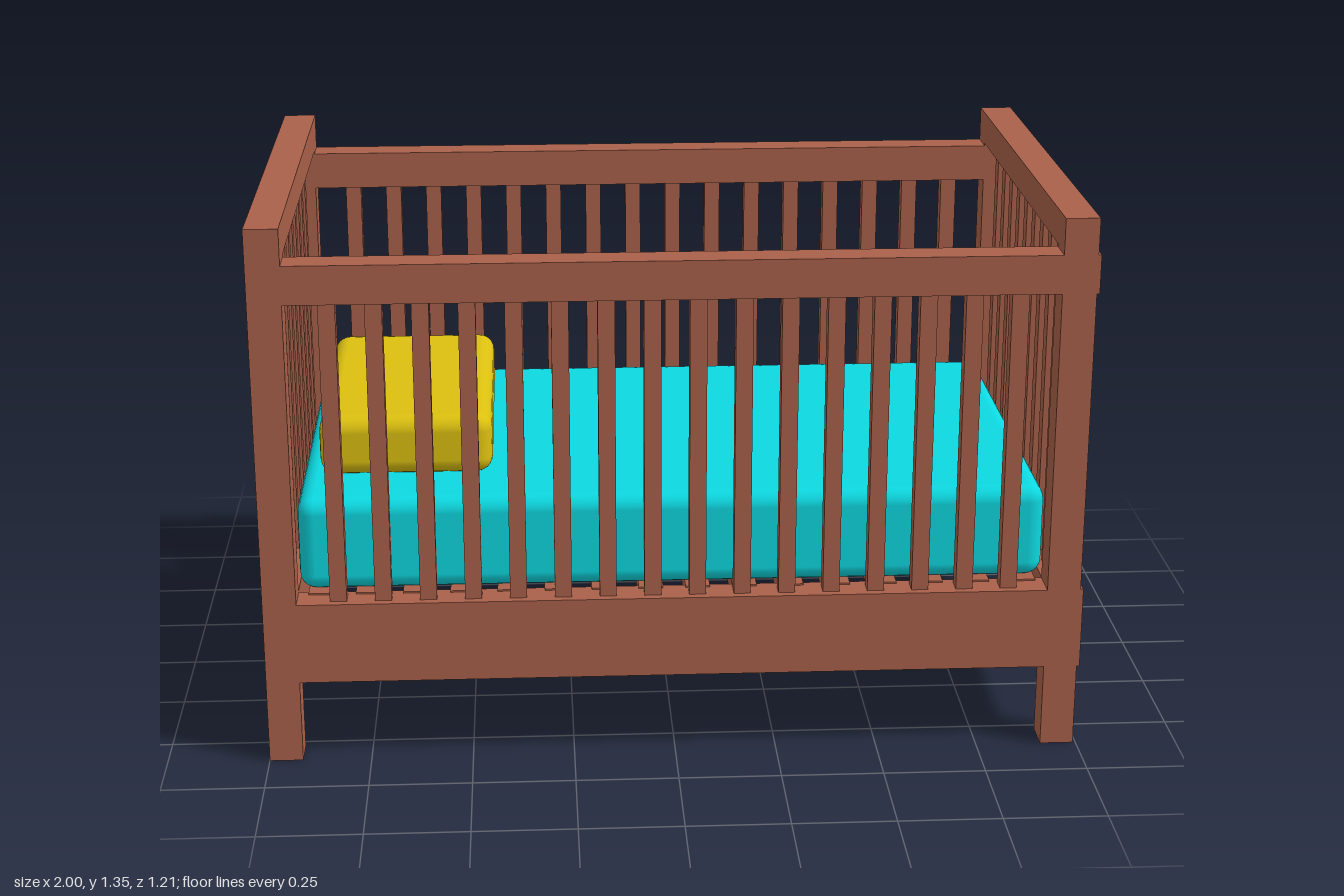
import * as THREE from 'three';
import { RoundedBoxGeometry } from 'three/addons/geometries/RoundedBoxGeometry.js';

export function createModel() {
  const crib = new THREE.Group();
  crib.name = 'crib';
  const wood = new THREE.MeshStandardMaterial({ color: 0xa9614a });
  const sheet = new THREE.MeshStandardMaterial({ color: 0x0dd8e0 });
  const cushion = new THREE.MeshStandardMaterial({ color: 0xdcc010 });

  // Wooden bar given by its min and max along each axis
  function bar(name, [x0, x1], [y0, y1], [z0, z1]) {
    const mesh = new THREE.Mesh(new THREE.BoxGeometry(x1 - x0, y1 - y0, z1 - z0), wood);
    mesh.position.set((x0 + x1) / 2, (y0 + y1) / 2, (z0 + z1) / 2);
    mesh.name = name;
    crib.add(mesh);
  }
  // Soft rounded block, given the same way
  function soft(name, [x0, x1], [y0, y1], [z0, z1], radius, material) {
    const mesh = new THREE.Mesh(
      new RoundedBoxGeometry(x1 - x0, y1 - y0, z1 - z0, 3, radius), material);
    mesh.position.set((x0 + x1) / 2, (y0 + y1) / 2, (z0 + z1) / 2);
    mesh.name = name;
    crib.add(mesh);
  }
  const around = (c, w) => [c - w / 2, c + w / 2];

  const outerZ = 0.604, railZ = 0.563, railDepth = 0.082;
  const leftEnd = [0.911, 0.993], rightEnd = [-1, -0.918];
  const barWidth = 0.041, pitch = 0.109;

  // Corner posts, end rails and end bars
  for (const [side, xs] of [['left', leftEnd], ['right', rightEnd]]) {
    const mid = (xs[0] + xs[1]) / 2;
    for (const s of [-1, 1]) bar(side + 'Post', xs, [0, 1.3], around(s * railZ, railDepth));
    bar(side + 'EndTopRail', xs, [1.268, 1.35], [-outerZ, outerZ]);
    bar(side + 'EndBoard', xs, [0.208, 0.415], [-outerZ, outerZ]);
    for (let i = -4; i <= 4; i++)
      bar(side + 'EndBar', around(mid, barWidth), [0.4, 1.28], around(i * 0.108, barWidth));
  }

  // Long sides, front and back
  for (const [side, s] of [['front', 1], ['back', -1]]) {
    const zs = around(s * railZ, railDepth);
    bar(side + 'TopRail', [-0.995, 1], [1.166, 1.261], zs);
    bar(side + 'Board', [-0.995, 1], [0.208, 0.412], zs);
    for (let i = 0; i < 16; i++)
      bar(side + 'Bar', around((i - 7.5) * pitch, barWidth), [0.4, 1.18],
        around(s * railZ, barWidth));
  }

  // Slats carrying the mattress
  for (let i = 0; i < 16; i++)
    bar('baseSlat', around((i - 7.5) * 0.115, 0.06), [0.365, 0.416], [-0.54, 0.54]);

  soft('mattress', [-0.915, 0.913], [0.413, 0.65], [-0.524, 0.524], 0.04, sheet);
  soft('pillow', [-0.867, -0.44], [0.65, 0.802], [-0.36, 0.362], 0.04, cushion);
  return crib;
}
